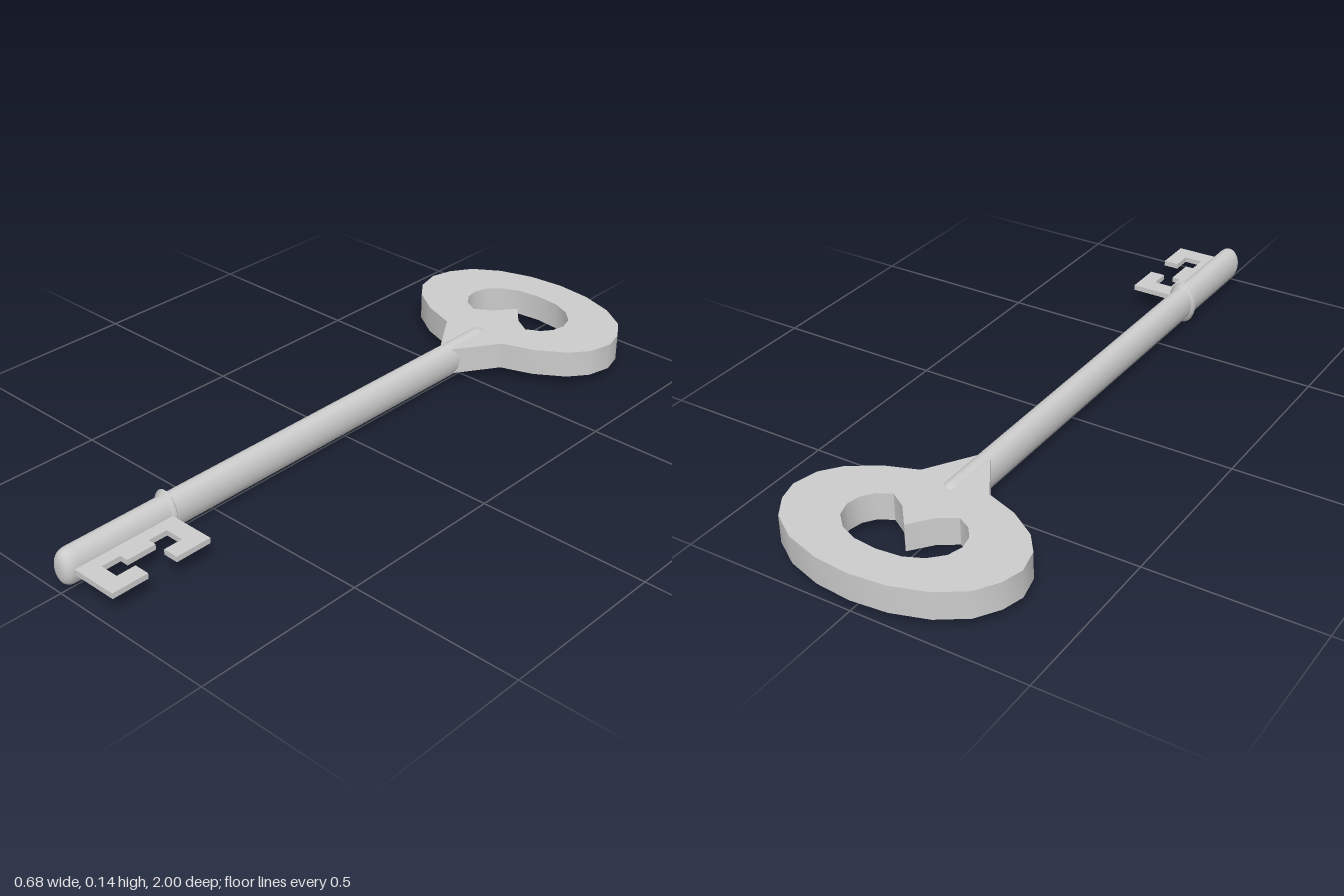
import * as THREE from 'three';
import { toCreasedNormals } from 'three/addons/utils/BufferGeometryUtils.js';

const material = new THREE.MeshStandardMaterial({ color: 0xcccccc });
const AXIS_Y = 0.0675;

// Repeats an outline's right half as its left half; both ends lie near x = 0.
const mirrored = (half) => [...half, ...half.filter(([x]) => x > 0).reverse().map(([x, z]) => [-x, z])];

const toPoints = (outline) => outline.map(([x, z]) => new THREE.Vector2(x, -z));

// Flat plate drawn in x/z and extruded upwards from y0 to y1.
// The hole is wound against the outline so its walls face inwards.
function plate(name, outline, y0, y1, hole) {
  const shape = new THREE.Shape(toPoints(outline));
  if (hole) shape.holes.push(new THREE.Path(toPoints(hole).reverse()));
  const geometry = new THREE.ExtrudeGeometry(shape, { depth: y1 - y0, bevelEnabled: false });
  geometry.rotateX(-Math.PI / 2).translate(0, y0, 0);
  const mesh = new THREE.Mesh(toCreasedNormals(geometry, 0.55), material);
  mesh.name = name;
  return mesh;
}

// Turned part along z, squeezed in x to an oval section. Profile is [radius, z].
function turned(name, profile) {
  const geometry = new THREE.LatheGeometry(profile.map(([r, z]) => new THREE.Vector2(r, z)), 32);
  geometry.rotateX(Math.PI / 2).scale(0.667, 1, 1).translate(0, AXIS_Y, 0);
  const mesh = new THREE.Mesh(geometry, material);
  mesh.name = name;
  return mesh;
}

export function createModel() {
  const key = new THREE.Group();
  key.name = 'key';

  // Shaft with blunt domed ends
  const radius = 0.0525, dome = 0.04, back = -0.61, front = 1, steps = 8;
  const backEnd = [], frontEnd = [];
  for (let i = 0; i <= steps; i++) {
    const a = (i / steps) * Math.PI / 2;
    const r = radius * Math.sin(a) ** 0.7;
    const inset = dome * (1 - Math.max(0, Math.cos(a)) ** 0.7);
    backEnd.push([r, back + inset]);
    frontEnd.unshift([r, front - inset]);
  }
  key.add(turned('shaft', [...backEnd, ...frontEnd]));

  // Thin collar rising to a sharp ridge
  key.add(turned('collar', [[0.05, 0.648], [0.056, 0.655], [0.0675, 0.66], [0.056, 0.665], [0.05, 0.672]]));

  // Oval bow tapering into the shaft, with a heart-like opening
  const bowOutline = mirrored([
    [0, -1], [0.105, -0.99], [0.206, -0.958], [0.284, -0.906], [0.325, -0.843], [0.342, -0.78],
    [0.325, -0.708], [0.282, -0.653], [0.2, -0.599], [0.105, -0.565], [0.012, -0.422],
  ]);
  const bowHole = mirrored([
    [0, -0.89], [0.07, -0.883], [0.122, -0.86], [0.159, -0.823], [0.172, -0.78],
    [0.164, -0.74], [0.14, -0.708], [0.1, -0.686], [0.05, -0.717], [0, -0.778],
  ]);
  key.add(plate('bow', bowOutline, 0.031, 0.111, bowHole));

  // Bit: two hooked teeth, symmetric about its middle
  const mid = 0.822;
  const tooth = [
    [0.01, 0.155], [0.173, 0.155], [0.173, 0.045], [0.127, 0.045],
    [0.127, 0.103], [0.071, 0.103], [0.071, 0.045], [0.096, 0.045],
  ];
  const bitOutline = [
    ...tooth.map(([x, d]) => [x, mid - d]),
    ...[...tooth].reverse().map(([x, d]) => [x, mid + d]),
  ];
  key.add(plate('bit', bitOutline, 0.06, 0.076));

  return key;
}
